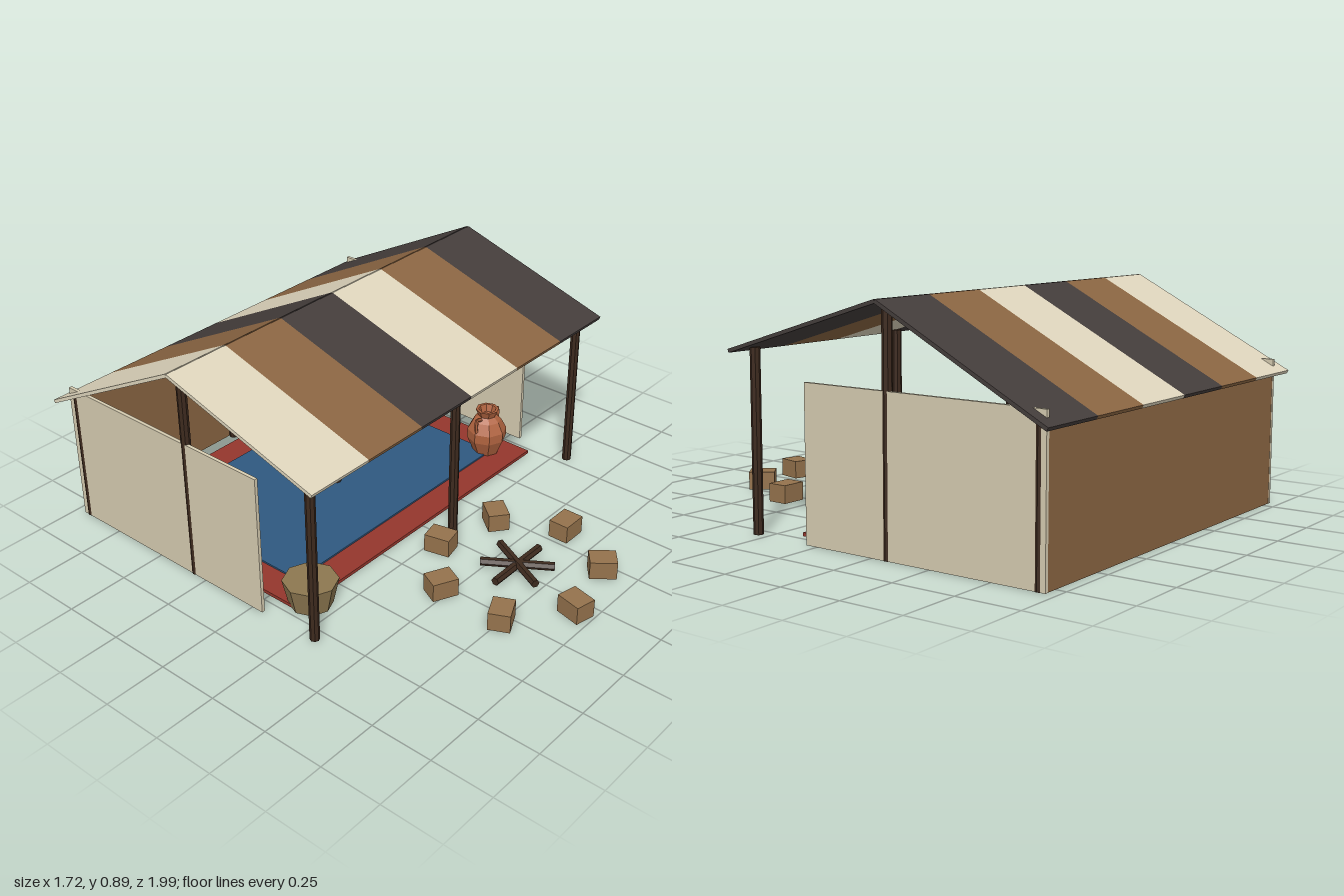
import * as THREE from 'three';

const material = (color) => new THREE.MeshStandardMaterial({ color, flatShading: true });
const MAT = {
  cream: material(0xded5bc), brown: material(0x8a6542), dark: material(0x443d3b),
  linen: material(0xd5cbb0), wood: material(0x3d2a1e), red: material(0x94362c),
  blue: material(0x2f5880), yellow: material(0xc8952c), teal: material(0x2f8078),
  clay: material(0xb0633f), block: material(0x94724c), wicker: material(0x8c7750),
};

export function createModel() {
  const model = new THREE.Group();

  const add = (name, geometry, mat, x = 0, y = 0, z = 0, parent = model) => {
    const mesh = new THREE.Mesh(geometry, mat);
    mesh.name = name;
    mesh.position.set(x, y, z);
    parent.add(mesh);
    return mesh;
  };
  const box = (name, mat, w, h, d, x, y, z) =>
    add(name, new THREE.BoxGeometry(w, h, d), mat, x, y, z);

  // Striped roof: two sloping sheets meeting at the ridge
  const ridge = { y: 0.882, z: -0.315 };
  const eaves = [{ name: 'frontRoof', y: 0.672, z: 0.37 }, { name: 'backRoof', y: 0.527, z: -0.995 }];
  const stripes = [MAT.cream, MAT.brown, MAT.dark];
  const stripeWidth = 1.72 / 6;
  for (const eave of eaves) {
    const dy = eave.y - ridge.y, dz = eave.z - ridge.z;
    for (let i = 0; i < 6; i++) {
      const panel = box(eave.name + 'Stripe', stripes[i % 3], stripeWidth, 0.014, Math.hypot(dy, dz),
        -0.86 + stripeWidth * (i + 0.5), (eave.y + ridge.y) / 2, (eave.z + ridge.z) / 2);
      panel.rotation.x = Math.atan(-dy / dz);
    }
  }

  // Posts in three rows
  const rows = [['frontPost', 0.3, 0.685], ['ridgePost', -0.315, 0.868], ['backPost', -0.93, 0.545]];
  for (const [name, z, h] of rows) {
    for (const x of [-0.795, 0, 0.795]) {
      add(name, new THREE.CylinderGeometry(0.019, 0.019, h, 8), MAT.wood, x, h / 2, z);
    }
  }

  // Cloth walls: two panels each side, one across the back
  for (const x of [-0.803, 0.803]) {
    box('sideWallFront', MAT.linen, 0.014, 0.58, 0.365, x, 0.29, -0.1325);
    box('sideWallBack', MAT.linen, 0.014, 0.58, 0.645, x, 0.29, -0.6375);
  }
  box('backWall', MAT.brown, 1.595, 0.54, 0.014, 0, 0.27, -0.952);

  // Carpet with inner field
  box('carpetBorder', MAT.red, 1.44, 0.014, 1.03, 0, 0.007, -0.365);
  box('carpetField', MAT.blue, 1.2, 0.01, 0.79, 0, 0.016, -0.365);

  // Cushions with a chamfered top and bottom, built from rectangular sections
  const cushion = (name, mat, x, z) => {
    const shape = new THREE.Shape();
    const w = 0.105, d = 0.1;
    shape.moveTo(-w, -d);
    shape.lineTo(w, -d);
    shape.lineTo(w, d);
    shape.lineTo(-w, d);
    const g = new THREE.ExtrudeGeometry(shape,
      { depth: 0.05, bevelEnabled: true, bevelThickness: 0.019, bevelSize: 0.016, bevelSegments: 1 });
    g.rotateX(-Math.PI / 2);
    add(name, g, mat, x, 0.04, z);
  };
  cushion('yellowCushion', MAT.yellow, -0.485, -0.675);
  cushion('tealCushion', MAT.teal, 0.45, -0.675);

  // Clay jar with two handles
  const jar = new THREE.Group();
  jar.name = 'jar';
  jar.position.set(0.61, 0.014, 0.005);
  model.add(jar);
  const profile = [[0, 0], [0.055, 0], [0.084, 0.07], [0.084, 0.11], [0.06, 0.155],
    [0.038, 0.175], [0.05, 0.205], [0.038, 0.205], [0.028, 0.175], [0, 0.165]];
  add('jarBody', new THREE.LatheGeometry(profile.map(([r, y]) => new THREE.Vector2(r, y)), 8),
    MAT.clay, 0, 0, 0, jar);
  for (const s of [-1, 1]) {
    const path = new THREE.CatmullRomCurve3([[0.042, 0.165], [0.072, 0.178], [0.077, 0.15], [0.072, 0.11]]
      .map(([x, y]) => new THREE.Vector3(s * x, y, 0)));
    add('jarHandle', new THREE.TubeGeometry(path, 6, 0.008, 5), MAT.clay, 0, 0, 0, jar);
  }

  // Tapered basket
  add('basket', new THREE.CylinderGeometry(0.107, 0.083, 0.108, 8), MAT.wicker, -0.65, 0.054, 0.147);

  // Campfire: three crossed logs
  const fireZ = 0.615;
  [0, 57, 116].forEach((deg, i) => {
    const g = new THREE.CylinderGeometry(0.017, 0.017, 0.285, 6);
    g.rotateZ(Math.PI / 2);
    const log = add('fireLog', g, MAT.wood, 0, 0.031 + i * 0.003, fireZ);
    log.rotation.y = -THREE.MathUtils.degToRad(deg);
  });

  // Ring of seat blocks around the fire
  for (let i = 0; i < 7; i++) {
    const a = (i / 7) * Math.PI * 2;
    const seat = box('seatBlock', MAT.block, 0.105, 0.074, 0.085,
      0.323 * Math.cos(a), 0.037, fireZ + 0.323 * Math.sin(a));
    seat.rotation.y = -a;
  }

  return model;
}
